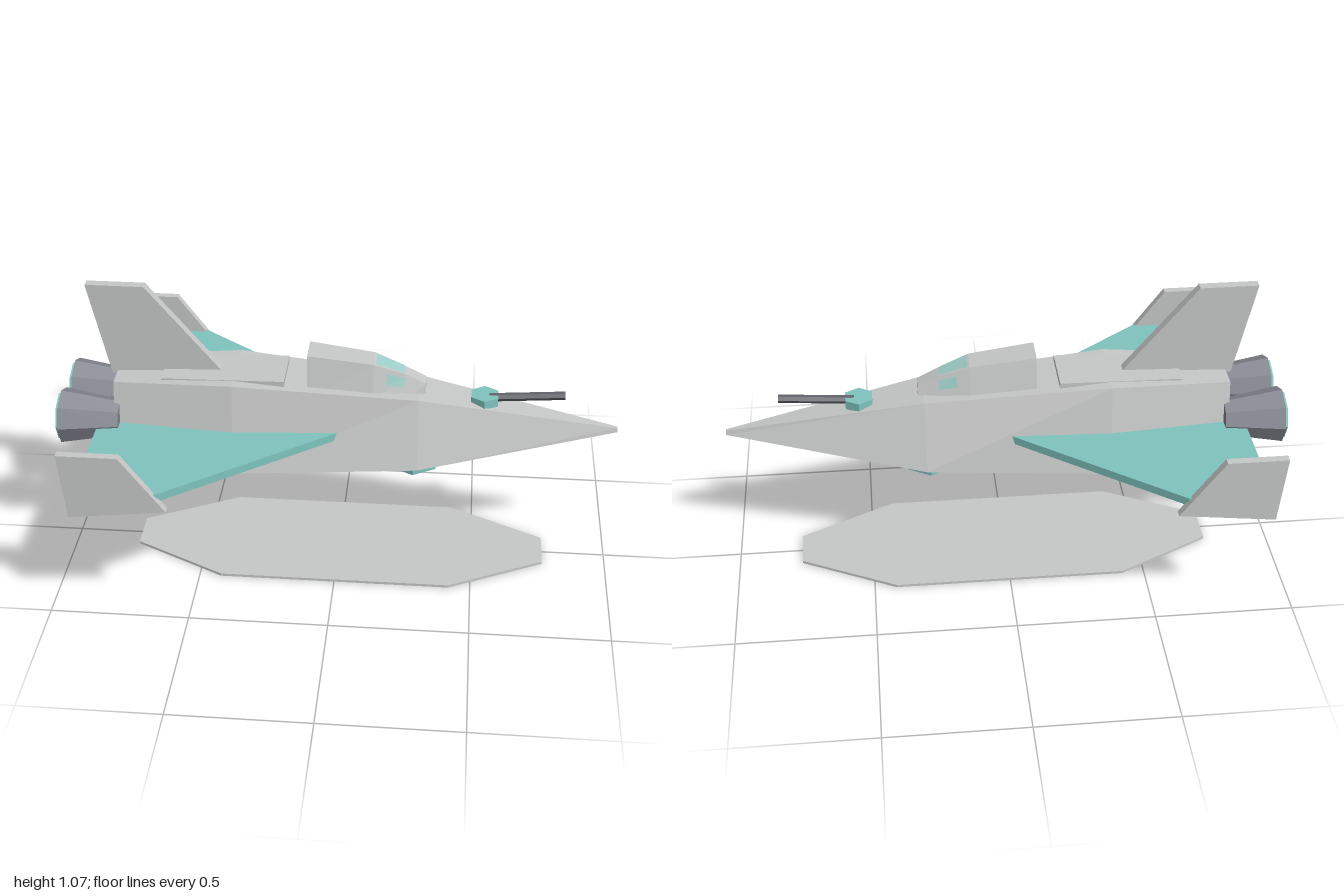
import * as THREE from 'three';

const mat = (name, color, opts = {}) => {
  const m = new THREE.MeshStandardMaterial({ color, flatShading: true, ...opts });
  m.name = name;
  return m;
};

// Flat-faced solid or patch from a list of quads
function quadGeometry(quads) {
  const pos = [];
  for (const [a, b, c, d] of quads) for (const p of [a, b, c, a, c, d]) pos.push(p.x, p.y, p.z);
  const g = new THREE.BufferGeometry();
  g.setAttribute('position', new THREE.Float32BufferAttribute(pos, 3));
  g.computeVertexNormals();
  return g;
}

// Trapezoid section: [x, topY, topHalfWidth, bottomY, bottomHalfWidth]
const ring = ([x, ty, tw, by, bw]) =>
  [[ty, tw], [ty, -tw], [by, -bw], [by, bw]].map(([y, z]) => new THREE.Vector3(x, y, z));

// Face k between sections i and i + 1 (0 top, 1 right, 2 bottom, 3 left)
const face = (r, i, k) => [r[i][k], r[i + 1][k], r[i + 1][(k + 1) % 4], r[i][(k + 1) % 4]];

function loft(sections) {
  const r = sections.map(ring);
  const quads = [r[0], [...r[r.length - 1]].reverse()];
  for (let i = 0; i < r.length - 1; i++) for (let k = 0; k < 4; k++) quads.push(face(r, i, k));
  return quadGeometry(quads);
}

// Thin pane laid just over part of a quad
function pane([a, b, c, d], u0, u1, v0, v1) {
  const n = c.clone().sub(a).cross(d.clone().sub(b)).normalize().multiplyScalar(0.003);
  const at = (u, v) => a.clone().lerp(b, u).lerp(d.clone().lerp(c, u), v).add(n);
  return quadGeometry([[at(u0, v0), at(u1, v0), at(u1, v1), at(u0, v1)]]);
}

// Extruded outline, centred on its thickness
function plate(points, depth) {
  const shape = new THREE.Shape(points.map(([x, y]) => new THREE.Vector2(x, y)));
  return new THREE.ExtrudeGeometry(shape, { depth, bevelEnabled: false }).translate(0, 0, -depth / 2);
}

export function createModel() {
  const model = new THREE.Group();
  const hullGrey = mat('hull grey', 0xc6c8c7);
  const teal = mat('teal', 0x7fc3be);
  const glass = mat('glass teal', 0x9fcfc8, { side: THREE.DoubleSide });
  const slate = mat('engine slate', 0x868892);
  const gunmetal = mat('gunmetal', 0x62646c);

  const add = (name, geometry, material, x = 0, y = 0, z = 0) => {
    const mesh = new THREE.Mesh(geometry, material);
    mesh.name = name;
    mesh.position.set(x, y, z);
    model.add(mesh);
    return mesh;
  };

  // Hull
  add('hull', loft([
    [-0.8, 0.73, 0.1, 0.472, 0.155],
    [-0.37, 0.75, 0.132, 0.427, 0.2],
    [0.29, 0.7, 0.09, 0.455, 0.165],
    [1, 0.572, 0.005, 0.556, 0.008],
  ]), hullGrey);

  // Raised panel along the spine
  add('spinePanel', loft([
    [-0.63, 0.744, 0.085, 0.7, 0.085],
    [-0.19, 0.757, 0.095, 0.71, 0.095],
  ]), hullGrey);

  // Cockpit and its panes
  const cockpit = [
    [-0.11, 0.842, 0.054, 0.69, 0.087],
    [0.125, 0.813, 0.046, 0.68, 0.08],
    [0.24, 0.77, 0.028, 0.68, 0.058],
    [0.31, 0.735, 0.026, 0.66, 0.042],
  ];
  add('cockpit', loft(cockpit), hullGrey);
  const rings = cockpit.map(ring);
  add('windscreen', pane(face(rings, 1, 0), 0.06, 0.94, 0.06, 0.94), glass);
  add('leftWindow', pane(face(rings, 1, 3), 0.4, 0.95, 0.5, 0.85), glass);
  add('rightWindow', pane(face(rings, 1, 1), 0.4, 0.95, 0.15, 0.5), glass);

  // Tail fin
  add('tailFin', plate([[-0.82, 0.72], [-0.4, 0.72], [-0.685, 1.07], [-0.893, 1.07]], 0.034), hullGrey);

  for (const s of [1, -1]) {
    const side = s > 0 ? 'left' : 'right';

    // Wing and winglet
    const wing = plate([[0, 0.14], [-0.57, 0.572], [-0.856, 0.572], [-0.856, 0.13], [-0.7, 0.08], [0, 0.08]]
      .map(([x, z]) => [x, z * s]), 0.03).rotateX(Math.PI / 2);
    add(side + 'Wing', wing, teal, 0, 0.567, 0);
    add(side + 'Winglet', plate([[-0.87, 0.484], [-0.535, 0.524], [-0.685, 0.73], [-0.893, 0.73]], 0.028),
      hullGrey, 0, 0, s * 0.575);

    // Engine nozzle and glowing end
    add(side + 'Engine', new THREE.CylinderGeometry(0.066, 0.102, 0.21, 8).rotateZ(-Math.PI / 2),
      slate, -0.885, 0.588, s * 0.108);
    add(side + 'EngineGlow', new THREE.CylinderGeometry(0.088, 0.088, 0.012, 8).rotateZ(-Math.PI / 2),
      teal, -0.994, 0.588, s * 0.108);
  }

  // Nose turret with barrel
  add('turret', new THREE.CylinderGeometry(0.055, 0.055, 0.034, 6), teal, 0.52, 0.67, 0);
  const barrel = add('turretBarrel', new THREE.CylinderGeometry(0.015, 0.015, 0.27, 6).rotateZ(-Math.PI / 2),
    gunmetal, 0.67, 0.684, 0);
  barrel.rotation.z = 0.075;

  // Belly pods
  for (const [name, x] of [['frontPod', 0.273], ['rearPod', -0.34]])
    add(name, new THREE.CylinderGeometry(0.095, 0.095, 0.07, 6), teal, x, 0.422, 0);
  add('noseSensor', new THREE.CylinderGeometry(0.036, 0.036, 0.025, 6), teal, 0.635, 0.504, 0);

  // Display base
  add('base', plate([[-0.76, -0.075], [-0.42, -0.248], [0.42, -0.248], [0.767, -0.075],
    [0.767, 0.075], [0.42, 0.248], [-0.42, 0.248], [-0.76, 0.075]], 0.01).rotateX(Math.PI / 2),
    hullGrey, 0, 0.005, 0);

  return model;
}
